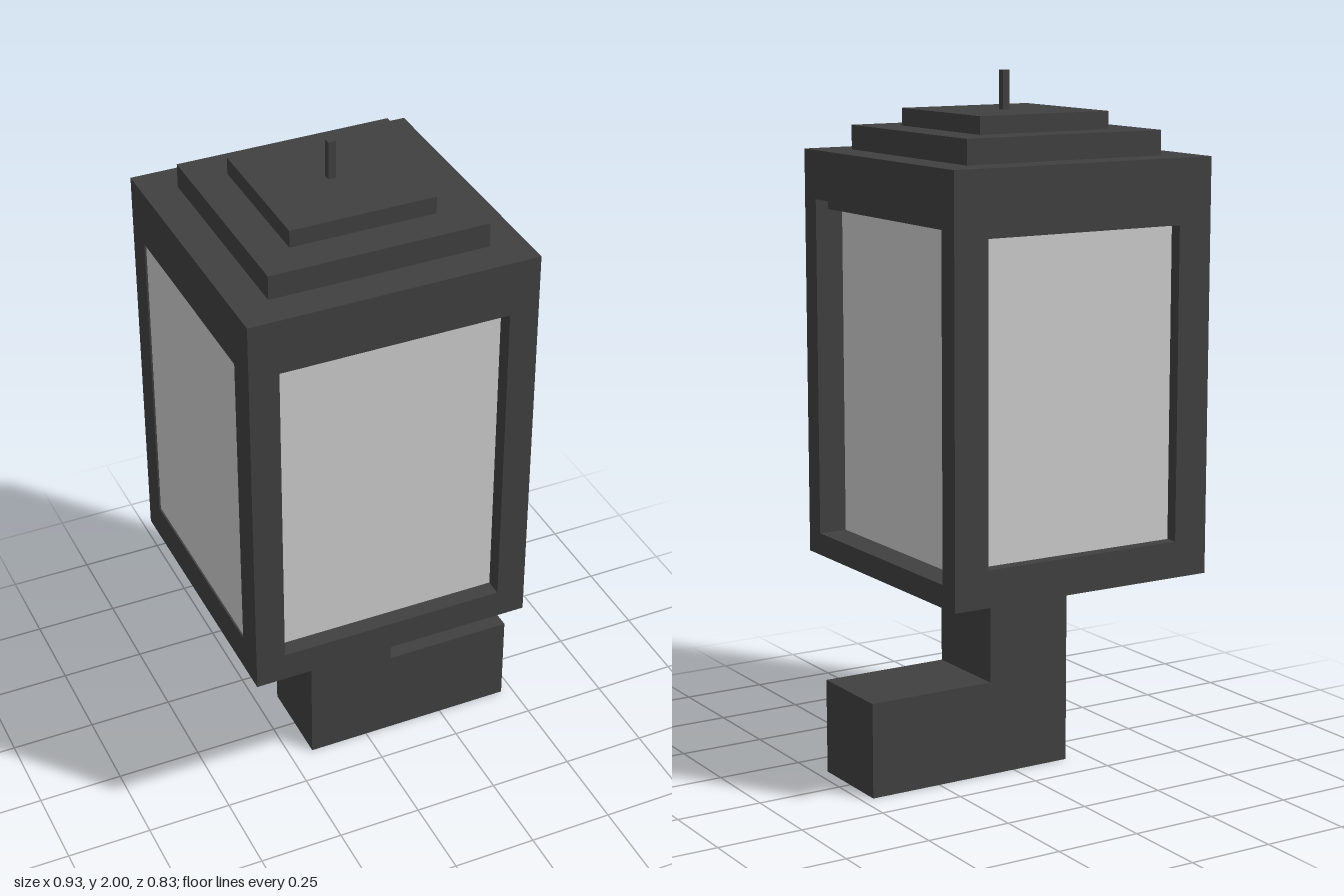
import * as THREE from 'three';

const CX = -0.05;            // lamp axis
const HALF = 0.415;          // half width of the housing
const Y0 = 0.585, Y1 = 1.77; // housing bottom and top

export function createModel() {
  const root = new THREE.Group();
  const dark = new THREE.MeshStandardMaterial({ color: 0x404040, flatShading: true });
  const glass = new THREE.MeshStandardMaterial({ color: 0xcccccc, side: THREE.DoubleSide });

  const add = (parent, name, geo, mat) => {
    const mesh = new THREE.Mesh(geo, mat);
    mesh.name = name;
    parent.add(mesh);
    return mesh;
  };
  const box = (parent, name, w, y0, y1, d) => {
    const mesh = add(parent, name, new THREE.BoxGeometry(w, y1 - y0, d), dark);
    mesh.position.y = (y0 + y1) / 2;
    return mesh;
  };
  const rect = (Type, u0, u1, v0, v1) => {
    const r = new Type();
    r.moveTo(u0, v0).lineTo(u1, v0).lineTo(u1, v1).lineTo(u0, v1).closePath();
    return r;
  };

  // L-shaped wall bracket
  const profile = new THREE.Shape();
  profile.moveTo(-0.18, 0).lineTo(0.465, 0).lineTo(0.465, 0.275)
    .lineTo(0.08, 0.275).lineTo(0.08, Y0).lineTo(-0.18, Y0).closePath();
  const bracket = new THREE.ExtrudeGeometry(profile, { depth: 0.27, bevelEnabled: false });
  add(root, 'bracket', bracket.translate(0, 0, -0.135), dark);

  const lamp = new THREE.Group();
  lamp.name = 'lantern';
  lamp.position.x = CX;
  root.add(lamp);

  // Four framed windows: u runs to the right as seen from outside each wall
  const walls = [
    { name: 'front', turn: 0, u: [-0.33, 0.33], v: [0.67, 1.61], depth: 0.05 },
    { name: 'left', turn: 1, u: [-0.35, 0.35], v: [0.65, 1.63], depth: 0.085, lip: 0.03 },
    { name: 'back', turn: 2, u: [-0.31, 0.31], v: [0.69, 1.585], depth: 0.037 },
    { name: 'right', turn: 3, u: [-0.33, 0.32], v: [0.69, 1.605], depth: 0.005 },
  ];
  for (const { name, turn, u, v, depth, lip } of walls) {
    const wall = new THREE.Group();
    wall.name = name + 'Wall';
    wall.rotation.y = turn * Math.PI / 2;
    lamp.add(wall);

    const shape = rect(THREE.Shape, -HALF, HALF, Y0, Y1);
    shape.holes.push(rect(THREE.Path, u[0], u[1], v[0], v[1]));
    const frame = new THREE.ExtrudeGeometry(shape, { depth, bevelEnabled: false });
    add(wall, name + 'Frame', frame.translate(0, 0, HALF - depth), dark);

    const pane = new THREE.PlaneGeometry(u[1] - u[0], v[1] - v[0]);
    pane.translate((u[0] + u[1]) / 2, (v[0] + v[1]) / 2, HALF - depth);
    add(wall, name + 'Pane', pane, glass);

    // stepped lip at the head of the deep window
    if (lip) {
      const head = box(wall, name + 'Lip', u[1] - u[0], v[1] - lip, v[1], 0.045);
      head.position.z = HALF - depth + 0.0225;
    }
  }

  // Floor and ceiling closing the housing
  box(lamp, 'floor', 2 * HALF - 0.01, Y0, 0.64, 2 * HALF - 0.01);
  box(lamp, 'ceiling', 2 * HALF - 0.01, 1.65, Y1, 2 * HALF - 0.01);

  // Stepped roof and finial
  box(lamp, 'lowerRoofStep', 0.63, Y1, 1.84, 0.63);
  box(lamp, 'upperRoofStep', 0.42, 1.84, 1.89, 0.42);
  box(lamp, 'finial', 0.022, 1.89, 2, 0.022);

  return root;
}
